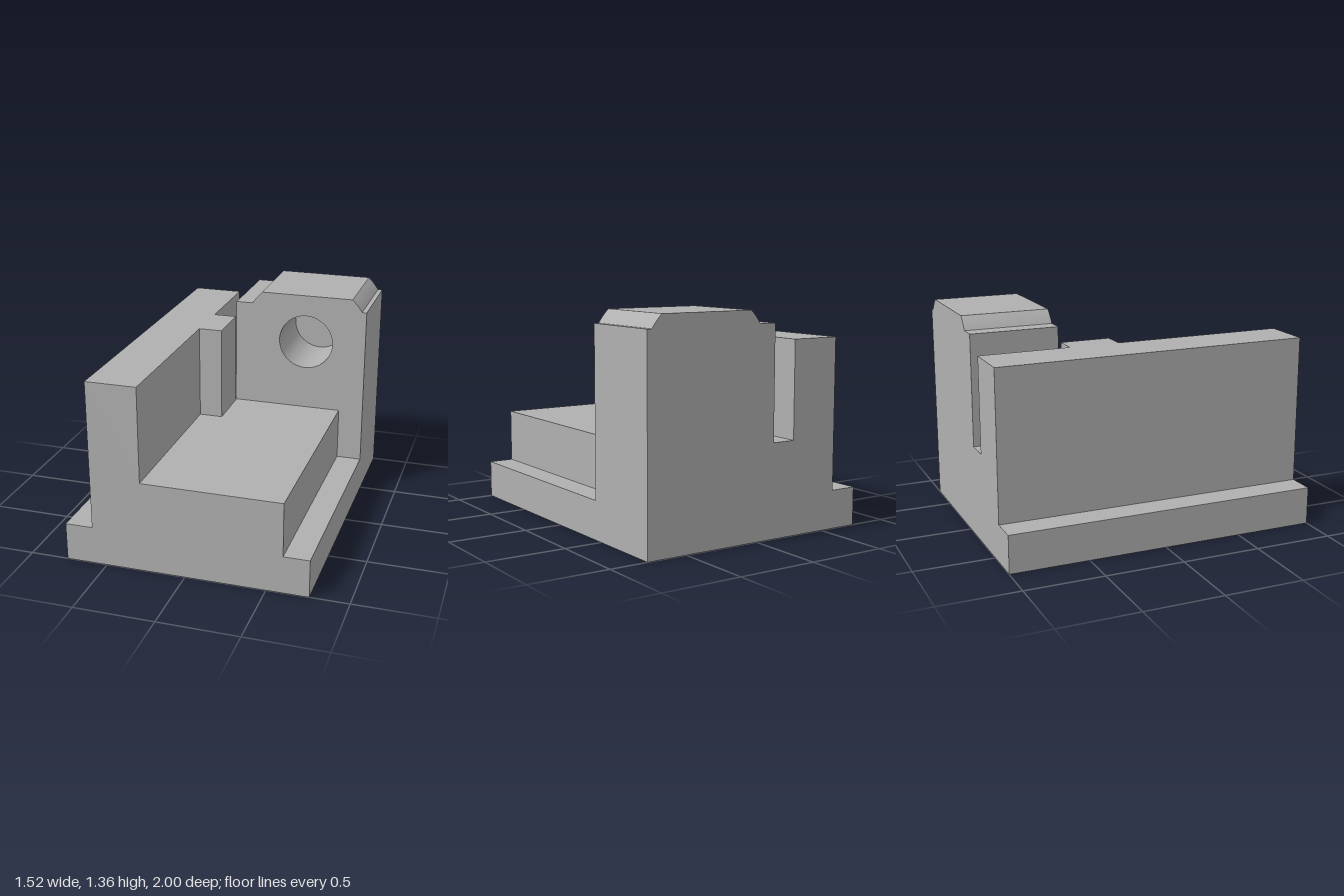
import * as THREE from 'three';
import { toCreasedNormals } from 'three/addons/utils/BufferGeometryUtils.js';

const steel = new THREE.MeshStandardMaterial({ color: 0xb0b0b0 });
steel.name = 'plain grey';

const BORE = { x: 0.36, y: 1.042, r: 0.18 };
const CROWN_R = 0.44; // crown corners are arcs concentric with the bore

// Extrude a front-facing profile between two depths
function prism(name, shape, z0, z1) {
  const raw = new THREE.ExtrudeGeometry(shape, { depth: z1 - z0, bevelEnabled: false, curveSegments: 48 });
  const mesh = new THREE.Mesh(toCreasedNormals(raw, 0.5), steel);
  mesh.name = name;
  mesh.position.z = z0;
  return mesh;
}

const polygon = (points) => new THREE.Shape(points.map(([x, y]) => new THREE.Vector2(x, y)));

// Points along one crown corner, between shoulder height and top height
function crownArc(side, yFrom, yTo, steps = 8) {
  const a0 = Math.asin((yFrom - BORE.y) / CROWN_R);
  const a1 = Math.asin((yTo - BORE.y) / CROWN_R);
  return Array.from({ length: steps + 1 }, (_, i) => {
    const a = a0 + ((a1 - a0) * i) / steps;
    return [BORE.x + side * CROWN_R * Math.cos(a), BORE.y + CROWN_R * Math.sin(a)];
  });
}

function bearingShape() {
  return polygon([
    [-0.12, 0.58], [0.6, 0.58], [0.6, 0.24], [0.76, 0.24], [0.76, 1.28],
    ...crownArc(1, 1.28, 1.36),
    ...crownArc(-1, 1.36, 1.28),
    [-0.12, 1.28],
  ]);
}

export function createModel() {
  const group = new THREE.Group();
  group.name = 'machinedBlock';

  // Flanged base, raised bed and tall side wall in one profile
  group.add(prism('baseAndWall', polygon([
    [-0.76, 0], [0.76, 0], [0.76, 0.24], [0.6, 0.24], [0.6, 0.58],
    [-0.27, 0.58], [-0.27, 1.18], [-0.587, 1.18], [-0.587, 0.24], [-0.76, 0.24],
  ]), -1, 1));

  // Pad projecting from the wall
  const pad = new THREE.Mesh(new THREE.BoxGeometry(0.15, 0.6, 0.32), steel);
  pad.name = 'wallPad';
  pad.position.set(-0.195, 0.88, -0.263);
  group.add(pad);

  // Rear block: bored front portion and solid back, making a blind hole
  const bored = bearingShape();
  const hole = new THREE.Path();
  hole.absarc(BORE.x, BORE.y, BORE.r, 0, Math.PI * 2, true);
  bored.holes.push(hole);
  group.add(prism('boredBlock', bored, -0.88, -0.44));
  group.add(prism('blockBack', bearingShape(), -1, -0.88));

  return group;
}
